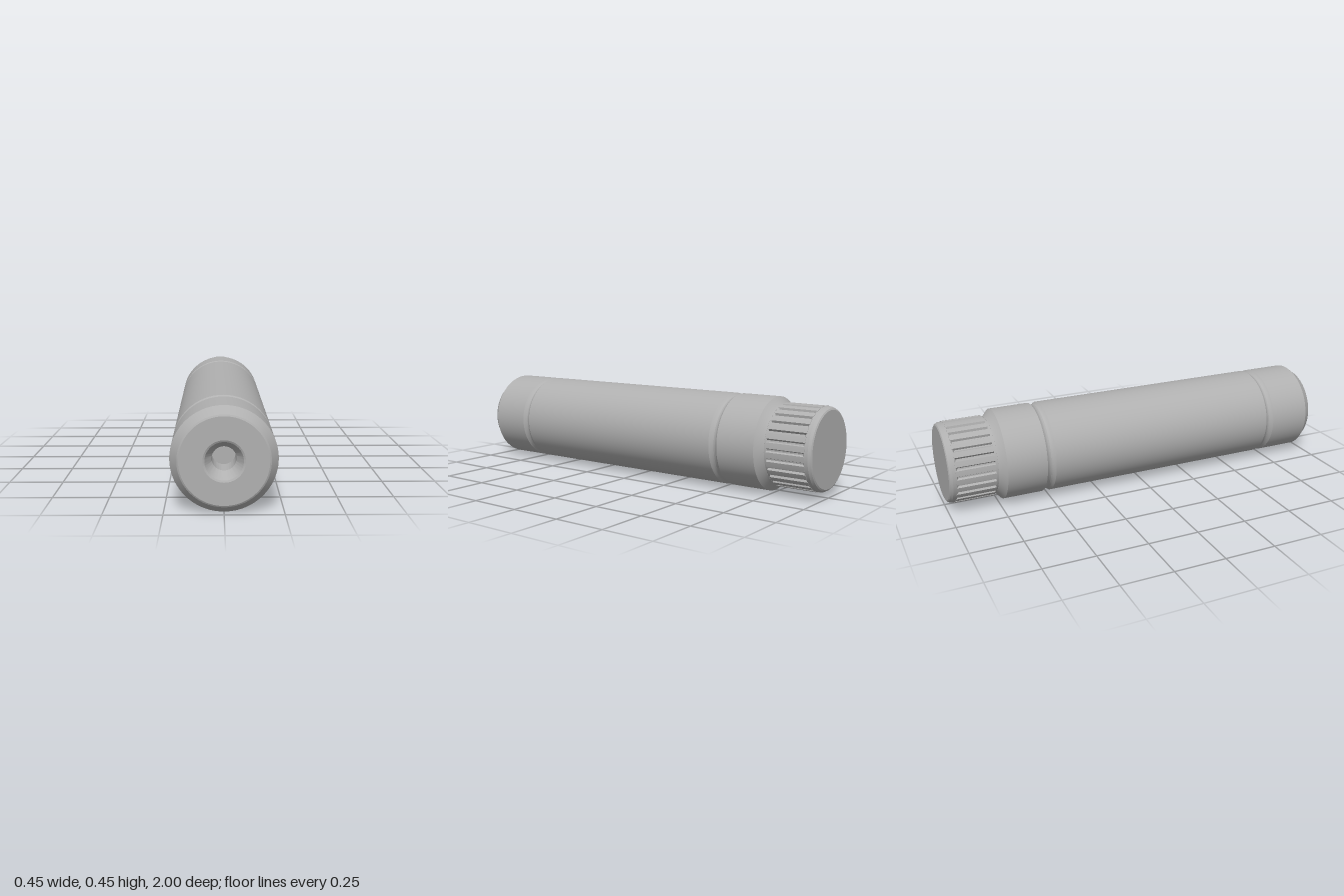
import * as THREE from 'three';
import { toCreasedNormals } from 'three/addons/utils/BufferGeometryUtils.js';

const AXIS_Y = 0.224;
const SEGMENTS = 96;
const TEETH = 28;

// Turned part along z from [radius, z] points, listed back to front
function turned(points, name, material) {
  const profile = points.map(([r, z]) => new THREE.Vector2(r, z));
  const geometry = new THREE.LatheGeometry(profile, SEGMENTS).rotateX(Math.PI / 2);
  const mesh = new THREE.Mesh(toCreasedNormals(geometry, 0.3), material);
  mesh.name = name;
  return mesh;
}

// Shallow rounded groove in the shaft, centred on z
function groove(z, radius, halfWidth = 0.022, depth = 0.011) {
  const points = [];
  for (let i = 0; i <= 6; i++) {
    const t = i / 3 - 1;
    points.push([radius - depth * (1 - t * t), z + t * halfWidth]);
  }
  return points;
}

// Toothed ring: wide flat teeth with narrow sloped gaps between them
function splineGeometry(outer, inner, length) {
  const shape = new THREE.Shape();
  const step = (Math.PI * 2) / TEETH;
  const corners = [[0, inner], [0.16, inner], [0.28, outer], [0.58, outer], [0.88, outer]];
  for (let i = 0; i < TEETH; i++) {
    corners.forEach(([t, r], j) => {
      const a = (i + t) * step;
      const x = Math.cos(a) * r, y = Math.sin(a) * r;
      if (i === 0 && j === 0) shape.moveTo(x, y);
      else shape.lineTo(x, y);
    });
  }
  shape.closePath();
  const geometry = new THREE.ExtrudeGeometry(shape, { depth: length, bevelEnabled: false });
  return toCreasedNormals(geometry, 0.3);
}

export function createModel() {
  const steel = new THREE.MeshStandardMaterial({ color: 0xb0b0b0 });
  steel.name = 'grey steel';

  const model = new THREE.Group();
  model.name = 'splinedPin';
  const R = 0.224;

  // Shaft with chamfered ends, two grooves and a drilled, countersunk front
  model.add(turned([
    [0.18, -0.765], [0.189, -0.765], [0.196, -0.755], [R, -0.73],
    ...groove(-0.512, R),
    ...groove(0.724, R),
    [R, 0.955], [0.193, 0.996], [0.186, 1],
    [0.088, 1], [0.08, 0.996], [0.051, 0.945], [0.051, 0.84], [0, 0.84],
  ], 'shaft', steel));

  // Neck and rounded end cap behind the shaft
  model.add(turned([
    [0, -1], [0.182, -1], [0.189, -0.996], [0.196, -0.984], [0.197, -0.965],
    [0.188, -0.958], [0.188, -0.76],
  ], 'endCap', steel));

  // Spline teeth around the neck
  const spline = new THREE.Mesh(splineGeometry(0.199, 0.1885, 0.19), steel);
  spline.name = 'splineTeeth';
  spline.position.z = -0.968;
  model.add(spline);

  model.children.forEach((part) => { part.position.y = AXIS_Y; });
  return model;
}
